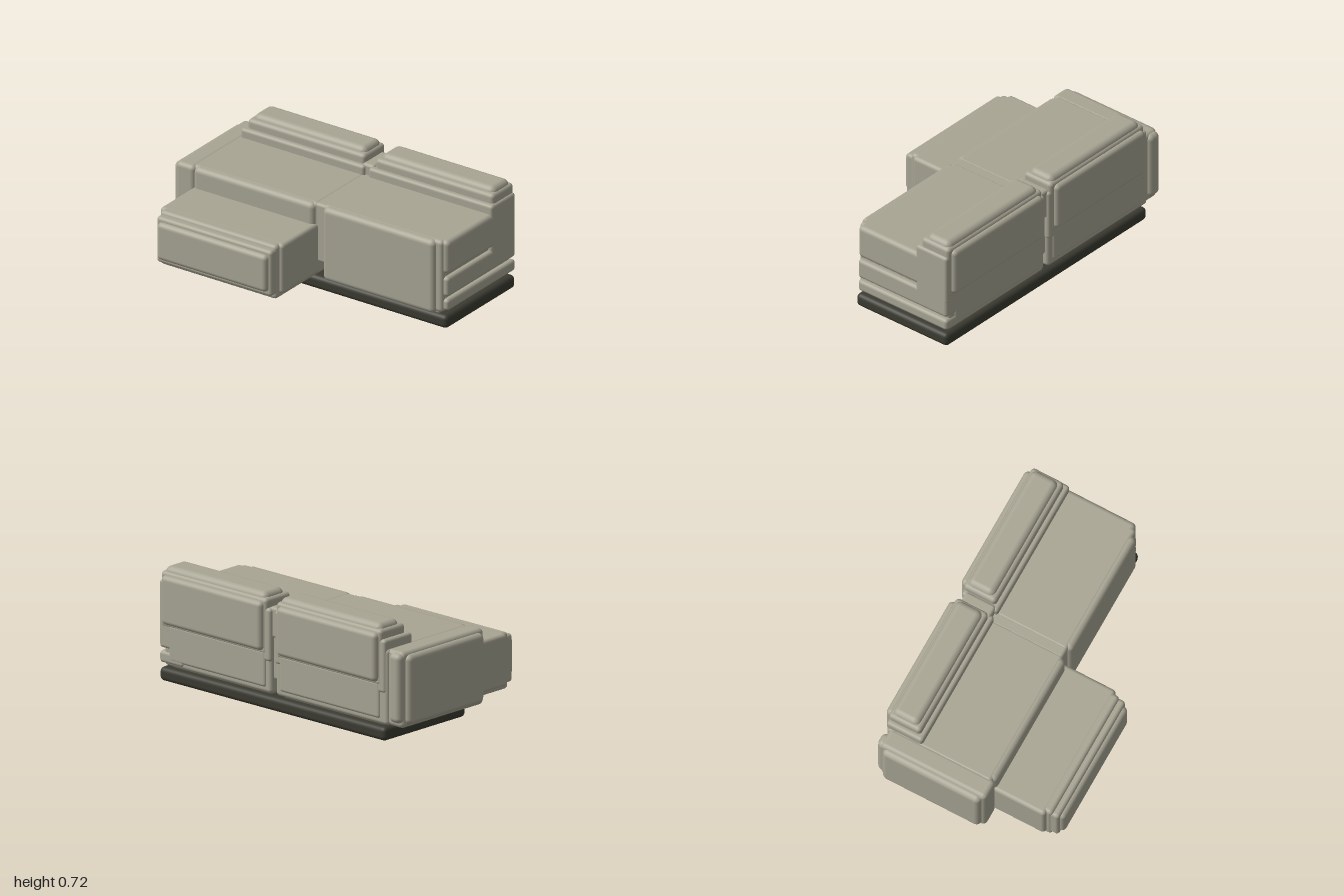
import * as THREE from 'three';
import { RoundedBoxGeometry } from 'three/addons/geometries/RoundedBoxGeometry.js';

const fabric = new THREE.MeshStandardMaterial({ color: 0xa8a594 });
fabric.name = 'taupe fabric';
const plinth = new THREE.MeshStandardMaterial({ color: 0x3b3b32 });
plinth.name = 'dark plinth';

// Rounded block given by its limits on each axis
function block(parent, name, [x0, x1], [y0, y1], [z0, z1], r, material = fabric) {
  const geometry = new RoundedBoxGeometry(x1 - x0, y1 - y0, z1 - z0, 3, r);
  const mesh = new THREE.Mesh(geometry, material);
  mesh.position.set((x0 + x1) / 2, (y0 + y1) / 2, (z0 + z1) / 2);
  mesh.name = name;
  parent.add(mesh);
  return mesh;
}

function part(parent, name) {
  const g = new THREE.Group();
  g.name = name;
  parent.add(g);
  return g;
}

// Back cushion: stepped tiers, narrower towards the top and the rear
function backCushion(parent, name, x0, x1) {
  const g = part(parent, name);
  block(g, 'cushionFoot', [x0, x1], [0.3, 0.632], [-0.574, -0.33], 0.02);
  block(g, 'cushionBody', [x0 + 0.03, x1 - 0.015], [0.34, 0.69], [-0.578, -0.36], 0.025);
  block(g, 'cushionCrown', [x0 + 0.05, x1 - 0.03], [0.4, 0.72], [-0.565, -0.385], 0.04);
  block(g, 'cushionRear', [x0 + 0.05, x1 - 0.04], [0.365, 0.67], [-0.608, -0.45], 0.03);
}

export function createModel() {
  const sofa = new THREE.Group();
  sofa.name = 'cornerSofa';

  // Plinth
  block(sofa, 'base', [-0.845, 1], [0, 0.087], [-0.575, 0.14], 0.03, plinth);

  // Seat on the chaise side
  const leftSeat = part(sofa, 'chaiseSeat');
  block(leftSeat, 'seatCore', [-0.86, 0.058], [0.1, 0.574], [-0.565, 0.143], 0.025);
  block(leftSeat, 'seatUnderside', [-0.8, 0.03], [0.082, 0.2], [-0.53, 0.14], 0.02);
  block(leftSeat, 'seatFront', [-0.84, 0.045], [0.11, 0.572], [-0.3, 0.166], 0.035);
  block(leftSeat, 'seatRear', [-0.8, 0.02], [0.135, 0.365], [-0.576, -0.3], 0.02);

  // Wide seat, with three padded bands on its outer side
  const rightSeat = part(sofa, 'wideSeat');
  block(rightSeat, 'seatCore', [0.09, 0.968], [0.1, 0.574], [-0.565, 0.14], 0.025);
  block(rightSeat, 'seatUnderside', [0.12, 0.94], [0.082, 0.2], [-0.53, 0.13], 0.02);
  block(rightSeat, 'seatFront', [0.105, 0.925], [0.088, 0.572], [-0.3, 0.167], 0.035);
  block(rightSeat, 'seatRear', [0.13, 0.92], [0.135, 0.365], [-0.576, -0.3], 0.02);
  for (const [y0, y1] of [[0.115, 0.19], [0.208, 0.335], [0.355, 0.574]]) {
    block(rightSeat, 'sideBand', [0.8, 1], [y0, y1], [-0.574, 0.125], y1 > 0.5 ? 0.03 : 0.022);
  }

  // Joint between the two seats, recessed at the front and open below
  block(sofa, 'seatJoint', [0.03, 0.12], [0.185, 0.572], [-0.54, 0.138], 0.02);

  // Armrest
  const arm = part(sofa, 'armrest');
  block(arm, 'armBody', [-0.968, -0.83], [0.098, 0.574], [-0.55, 0.165], 0.03);
  block(arm, 'armSide', [-1, -0.83], [0.12, 0.555], [-0.525, 0.14], 0.035);
  block(arm, 'armRear', [-0.965, -0.87], [0.13, 0.565], [-0.577, -0.3], 0.035);

  // Chaise: crossed blocks give stepped edges all round the front
  const chaise = part(sofa, 'chaise');
  block(chaise, 'chaiseBody', [-0.845, 0.058], [0.11, 0.438], [0.05, 0.5], 0.025);
  block(chaise, 'chaiseUnderside', [-0.82, 0.035], [0.082, 0.3], [0.05, 0.535], 0.025);
  block(chaise, 'chaiseTop', [-0.82, 0.035], [0.2, 0.437], [0.05, 0.535], 0.025);
  block(chaise, 'chaiseCollar', [-0.815, 0.03], [0.115, 0.416], [0.3, 0.577], 0.022);
  block(chaise, 'chaiseFront', [-0.795, 0.01], [0.145, 0.39], [0.4, 0.606], 0.03);

  // Back cushions
  backCushion(sofa, 'chaiseBackCushion', -0.845, 0.06);
  backCushion(sofa, 'wideBackCushion', 0.09, 1);
  block(sofa, 'backJoint', [0.03, 0.12], [0.45, 0.642], [-0.555, -0.35], 0.02);

  return sofa;
}
